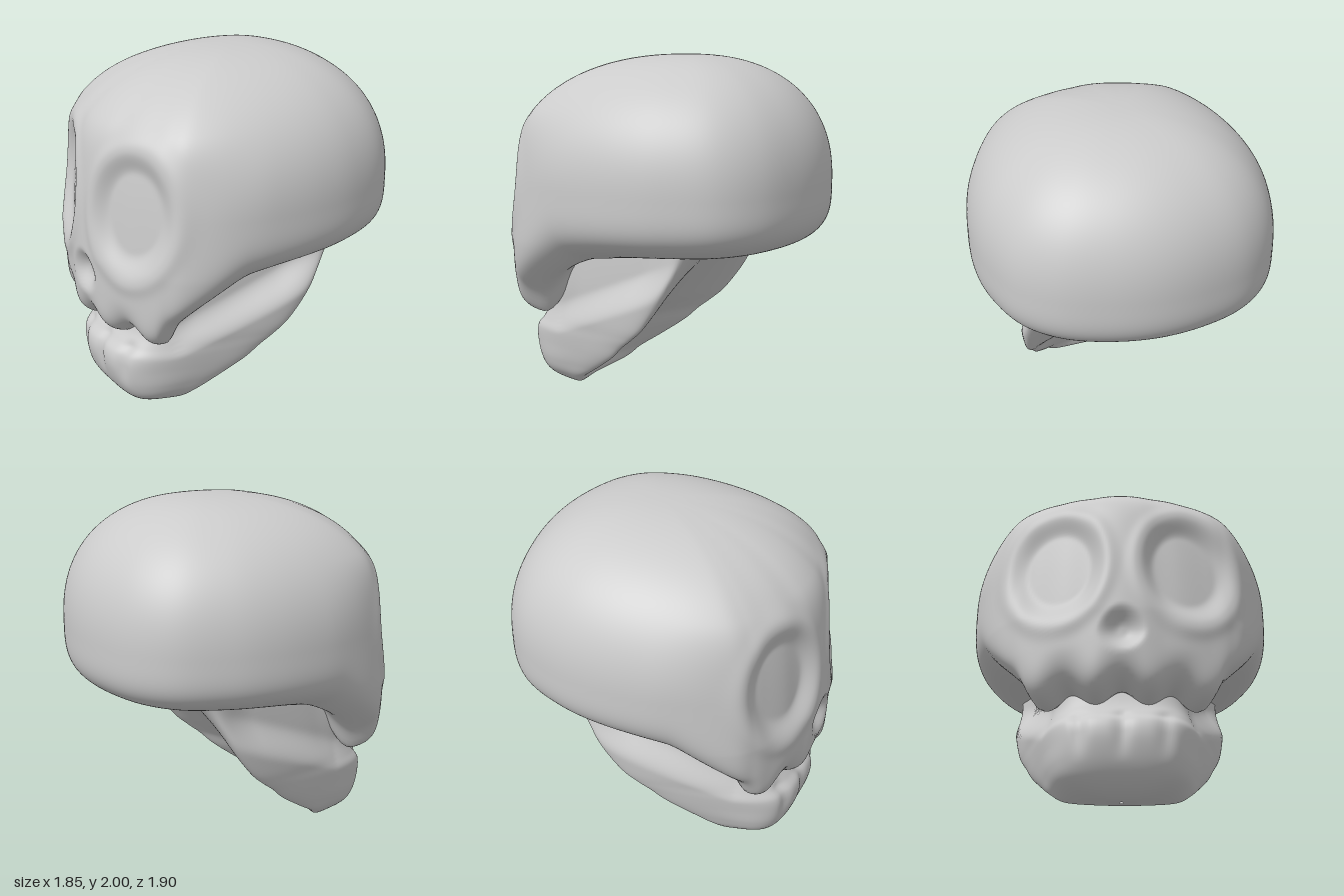
import * as THREE from 'three';

const { smoothstep, lerp } = THREE.MathUtils;
const material = new THREE.MeshStandardMaterial({ color: 0xcccccc, side: THREE.DoubleSide });
const V3 = (a, b, c) => new THREE.Vector3(a, b, c);

// Minimum of two values with a rounded transition
function softMin(a, b, r) {
  const h = Math.max(r - Math.abs(a - b), 0) / r;
  return Math.min(a, b) - h * h * r / 4;
}

// Smooth surface from rings running top to bottom; columns wrap around
function ringSurface(name, rows, cols, pointAt) {
  const pos = [], index = [];
  for (let i = 0; i <= rows; i++) {
    for (let j = 0; j < cols; j++) pos.push(...pointAt(i / rows, j / cols));
  }
  for (let i = 0; i < rows; i++) {
    for (let j = 0; j < cols; j++) {
      const k = (j + 1) % cols;
      const a = i * cols + j, b = a + cols, c = (i + 1) * cols + k, d = i * cols + k;
      index.push(a, b, d, b, c, d);
    }
  }
  const g = new THREE.BufferGeometry();
  g.setAttribute('position', new THREE.Float32BufferAttribute(pos, 3));
  g.setIndex(index);
  g.computeVertexNormals();
  const mesh = new THREE.Mesh(g, material);
  mesh.name = name;
  return mesh;
}

// Widest outline of the head from above, front to back, mirrored
const half = [[0, 0.93], [0.11, 0.92], [0.22, 0.89], [0.34, 0.86], [0.46, 0.81], [0.58, 0.75], [0.68, 0.66],
  [0.775, 0.46], [0.84, 0.2], [0.86, -0.08], [0.826, -0.34], [0.72, -0.61], [0.53, -0.79], [0.27, -0.89], [0, -0.925]];
const mirrored = half.slice(1, -1).reverse().map(([x, z]) => [-x, z]);
const plan = new THREE.CatmullRomCurve3([...half, ...mirrored].map(([x, z]) => V3(x, 0, z)), true, 'catmullrom', 0.5);

const MID_Y = 1.27, CENTRE_Z = -0.1;

function craniumPoint(t, s) {
  const p = plan.getPoint(s);
  const a = Math.atan2(Math.abs(p.x), p.z - CENTRE_Z); // angle away from the face
  const front = 1 - smoothstep(a, 0.6, 1.1);
  const lobe = Math.pow(Math.sin(Math.PI * a / 0.32), 2);
  const tooth = lobe * (1 - smoothstep(a, 0.56, 0.66));

  // Lower rim: tooth row in front, curving up to the cheek and the back
  const rim = 0.52 + 0.38 * (1 - Math.exp(-Math.max(0, a - 0.54) / 0.3)) - 0.065 * tooth;

  // Rounded vertical profile
  const phi = t * Math.PI, sn = Math.sin(phi), cs = Math.cos(phi);
  const power = cs > 0 ? 2.28 : lerp(3.8, 8, front);
  const n = Math.pow(Math.pow(Math.abs(sn), power) + Math.pow(Math.abs(cs), power), 1 / power);
  let k = sn / n;
  let y = MID_Y + (cs / n) * (cs > 0 ? 2 - MID_Y : MID_Y - rim);

  // Flattened face below the brow
  const flat = 1.01 - 0.13 * Math.max(0, y - 0.95);
  k = lerp(k, softMin(k, flat, 0.06), 1 - smoothstep(a, 0.6, 1.2));

  // Teeth swell above the tooth row
  if (cs < 0) k *= 1 + (0.03 * tooth - 0.025) * front * (1 - smoothstep(y, 0.5, 0.76));

  let x = p.x * k, z = CENTRE_Z + (p.z - CENTRE_Z) * k;

  if (z > 0.3 && k > 0.6) {
    // Shallow eye sockets with a soft raised rim
    const e = Math.hypot((Math.abs(x) - 0.355) / 0.26, (y - 1.25) / 0.345);
    const eye = -0.05 * (1 - smoothstep(e, 0.62, 1.02)) + 0.012 * Math.exp(-Math.pow((e - 1.12) / 0.14, 2));
    z += eye * 0.93;
    x += eye * 0.36 * Math.sign(x);
    // Nose hollow, narrow at the top
    const w = 0.14 - 0.2 * Math.max(0, y - 0.82);
    z -= 0.06 * (1 - smoothstep(Math.hypot(x / w, (y - 0.84) / 0.14), 0.15, 1));
  }
  // Palate and skull base, hollow inside the rim
  if (cs < 0) y = lerp(Math.max(y, 0.89), y, smoothstep(k, 0.5, 0.84));
  return [x, y, z];
}

// Jaw sections: height, front, back, half width, half width in front, hollow behind
const jawRows = [
  [0, 0.61, 0.59, 0.01, 0.01, 0], [0.004, 0.66, 0.53, 0.13, 0.13, 0.01], [0.04, 0.72, 0.4, 0.31, 0.24, 0.1],
  [0.1, 0.775, 0.29, 0.39, 0.32, 0.2], [0.18, 0.815, 0.11, 0.45, 0.36, 0.33], [0.28, 0.84, -0.09, 0.52, 0.38, 0.45],
  [0.36, 0.83, -0.2, 0.56, 0.4, 0.5], [0.42, 0.78, -0.28, 0.59, 0.42, 0.5], [0.5, 0.73, -0.37, 0.62, 0.45, 0.48],
  [0.65, 0.7, -0.48, 0.65, 0.48, 0.42], [0.8, 0.68, -0.54, 0.67, 0.49, 0.32], [0.94, 0.66, -0.57, 0.68, 0.49, 0.2]];
const jawCurve = pick => new THREE.CatmullRomCurve3(jawRows.map(r => V3(...pick(r))), false, 'catmullrom', 0.5);
const jawDepth = jawCurve(r => [r[0], r[1], r[2]]);
const jawWidth = jawCurve(r => [r[3], r[4], r[5]]);

function jawPoint(t, s) {
  const { x: y, y: front, z: back } = jawDepth.getPoint(1 - t);
  const { x: width, y: frontWidth, z: hollow } = jawWidth.getPoint(1 - t);
  const a = s * Math.PI * 2, sn = Math.sin(a), cs = Math.cos(a);
  const n = Math.pow(Math.pow(Math.abs(sn), 3.4) + Math.pow(Math.abs(cs), 3.4), 1 / 3.4);
  const across = sn / n, along = cs / n;
  let x = across * lerp(width, frontWidth, smoothstep(along, -0.9, 0.9));
  let z = (front + back) / 2 + along * (front - back) / 2;

  // Hollow between the two branches at the back
  z += hollow * Math.pow(1 - across * across, 0.8) * smoothstep(-along, 0, 0.9);
  // Cheek hollow above the raised jaw bar
  const bar = 0.35 + 0.42 * Math.max(0, 0.55 - z);
  x *= 1 - 0.19 * smoothstep(y, bar, bar + 0.2) * smoothstep(along, -0.85, -0.2) * (1 - smoothstep(along, 0.5, 1) * 0.6);
  // Grooves between the lower teeth
  if (along > 0.5) {
    const d = Math.abs(x) - 0.22 * Math.round(Math.abs(x) / 0.22);
    const band = smoothstep(y, 0.14, 0.3) * (1 - smoothstep(y, 0.4, 0.46));
    z -= 0.02 * Math.exp(-Math.pow(d / 0.04, 2)) * band * smoothstep(along, 0.5, 0.8);
  }
  return [x, Math.max(0, y), z];
}

export function createModel() {
  const group = new THREE.Group();
  group.name = 'skull';
  const head = new THREE.Group();
  head.name = 'turnedHead';
  head.add(ringSurface('cranium', 150, 224, craniumPoint));
  head.add(ringSurface('lowerJaw', 80, 144, jawPoint));
  head.rotation.y = -0.57; // the face looks towards the model's right
  group.add(head);
  return group;
}
